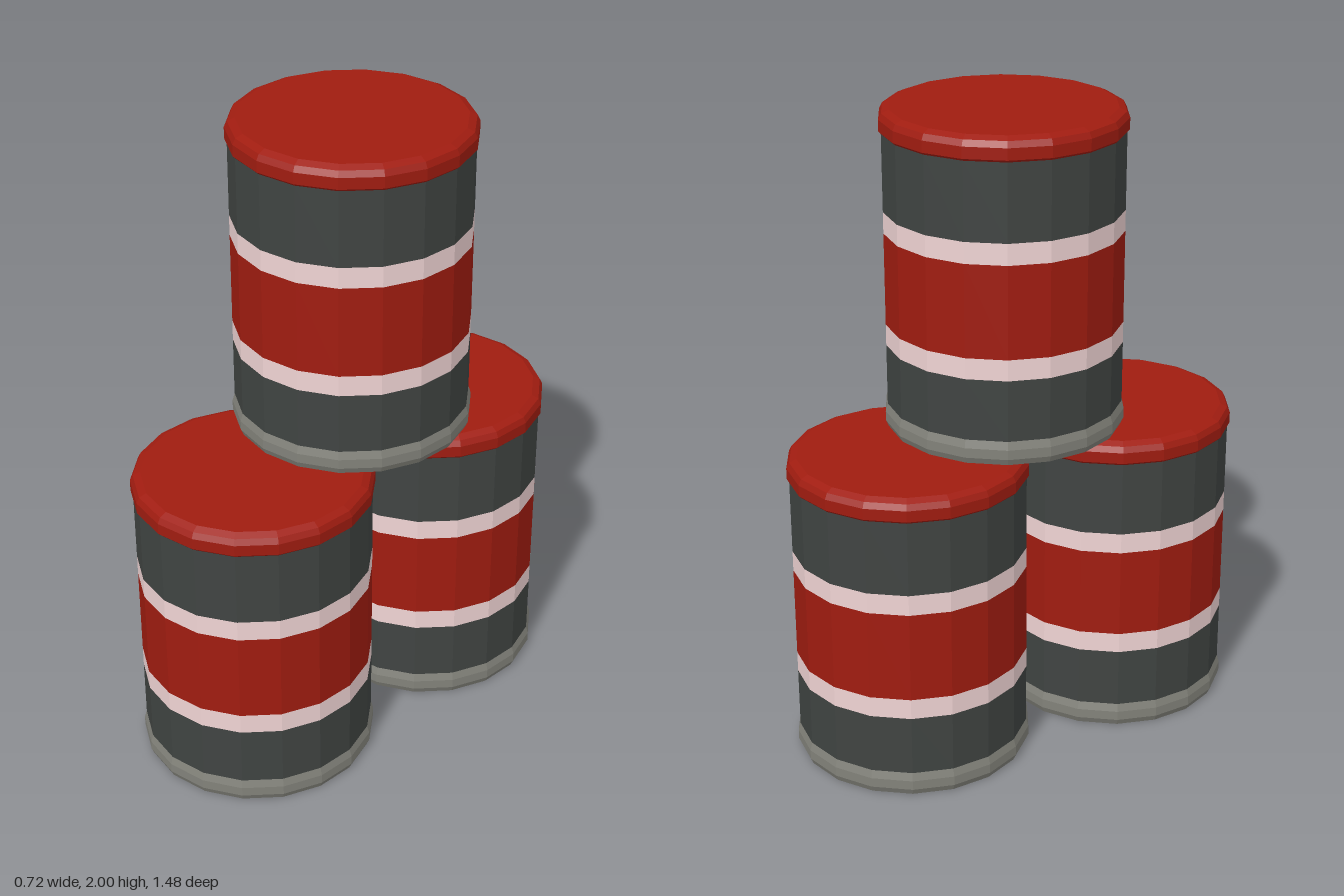
import * as THREE from 'three';

const SIDES = 18;
const BODY_R = 0.36;

const material = (color) => new THREE.MeshStandardMaterial({ color, flatShading: true });
const red = material(0xa01c10);
const dark = material(0x404442);
const pink = material(0xf0d4d4);
const grey = material(0x82827a);

// Straight band of the barrel wall between two heights
const band = (y0, y1) => [[BODY_R, y0], [BODY_R, y1]];

// Each part: name, material, profile as [radius, height] from bottom to top
const PARTS = [
  ['baseRim', grey, [[0, 0], [0.358, 0], [0.367, 0.02], [0.367, 0.05], [BODY_R, 0.075]]],
  ['lowerWall', dark, band(0.075, 0.265)],
  ['lowerStripe', pink, band(0.265, 0.33)],
  ['middleBand', red, band(0.33, 0.615)],
  ['upperStripe', pink, band(0.615, 0.68)],
  ['upperWall', dark, band(0.68, 0.915)],
  ['lid', red, [[BODY_R, 0.915], [0.367, 0.922], [0.367, 0.957], [0.358, 0.975], [0.336, 0.985], [0, 0.985]]],
];

function createBarrel(name, y, z) {
  const barrel = new THREE.Group();
  barrel.name = name;
  for (const [partName, mat, profile] of PARTS) {
    const points = profile.map(([r, h]) => new THREE.Vector2(r, h));
    const mesh = new THREE.Mesh(new THREE.LatheGeometry(points, SIDES), mat);
    mesh.name = partName;
    barrel.add(mesh);
  }
  barrel.position.set(0, y, z);
  return barrel;
}

export function createModel() {
  const model = new THREE.Group();
  model.name = 'barrelStack';
  model.add(
    createBarrel('frontBarrel', 0, 0.375),
    createBarrel('backBarrel', 0, -0.375),
    createBarrel('topBarrel', 1.015, -0.035),
  );
  return model;
}
